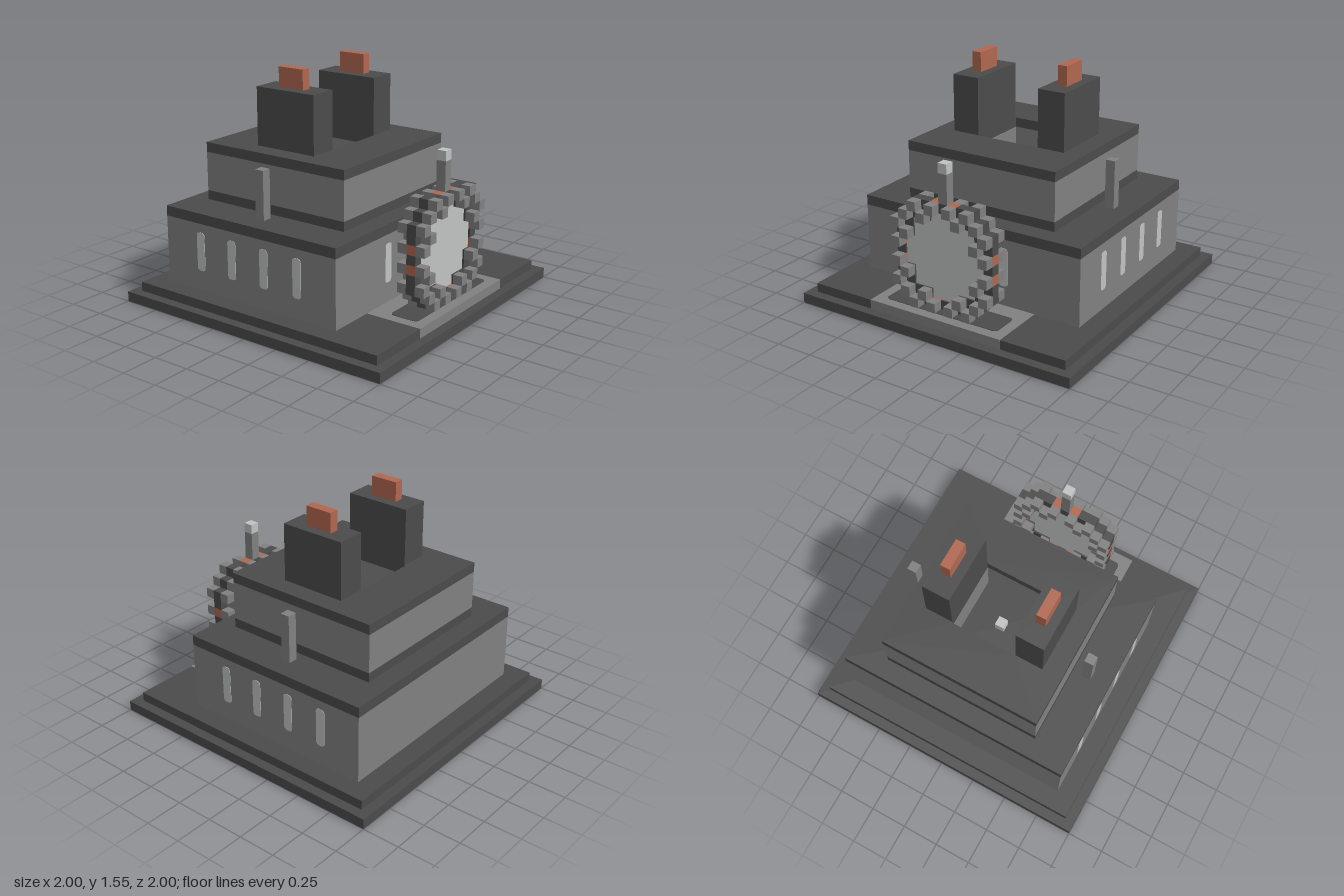
import * as THREE from 'three';

const mat = (name, color) => {
  const m = new THREE.MeshStandardMaterial({ color });
  m.name = name;
  return m;
};

export function createModel() {
  const dark = mat('dark stone', 0x4b4b4b);
  const mid = mat('grey stone', 0x808080);
  const light = mat('pale glow', 0xc0c3c1);
  const rust = mat('rust red', 0xb0674f);
  const model = new THREE.Group();
  model.name = 'steppedFortress';

  const add = (name, geometry, material, parent = model) => {
    const mesh = new THREE.Mesh(geometry, material);
    mesh.name = name;
    parent.add(mesh);
    return mesh;
  };
  // Box given by its limits on each axis
  const box = (name, material, [x0, x1], [y0, y1], [z0, z1], parent = model) => {
    const mesh = add(name, new THREE.BoxGeometry(x1 - x0, y1 - y0, z1 - z0), material, parent);
    mesh.position.set((x0 + x1) / 2, (y0 + y1) / 2, (z0 + z1) / 2);
    return mesh;
  };
  // Thin plate with rounded corners, lying in the xy plane
  const roundedPlate = (w, h, r, depth) => {
    const s = new THREE.Shape();
    const a = w / 2, b = h / 2;
    s.absarc(a - r, b - r, r, 0, Math.PI / 2);
    s.absarc(r - a, b - r, r, Math.PI / 2, Math.PI);
    s.absarc(r - a, r - b, r, Math.PI, Math.PI * 1.5);
    s.absarc(a - r, r - b, r, Math.PI * 1.5, Math.PI * 2);
    return new THREE.ExtrudeGeometry(s, { depth, bevelEnabled: false, curveSegments: 4 });
  };
  const rect = (path, [x0, x1], [z0, z1]) =>
    path.moveTo(x0, -z1).lineTo(x1, -z1).lineTo(x1, -z0).lineTo(x0, -z0).closePath();

  // Stepped base
  box('baseSlab', dark, [-1, 1], [0, 0.068], [-1, 1]);
  box('upperBaseSlab', dark, [-0.935, 0.935], [0.068, 0.13], [-0.935, 0.935]);
  box('forecourt', mid, [-0.488, 0.488], [0.069, 0.132], [0.545, 0.937]);
  const inlay = add('forecourtInlay', roundedPlate(0.835, 0.195, 0.03, 0.004), dark);
  inlay.rotation.x = -Math.PI / 2;
  inlay.position.set(0, 0.131, 0.77);

  // Lower storey
  box('lowerWalls', mid, [-0.805, 0.805], [0.13, 0.58], [-0.805, 0.55]);
  box('lowerRoof', dark, [-0.805, 0.805], [0.58, 0.648], [-0.805, 0.55]);

  // Upper storey with an open central shaft
  const X = [-0.548, 0.548], Z = [-0.677, 0.42];
  box('upperPlinth', dark, X, [0.648, 0.711], Z);
  const frame = (name, material, y0, y1) => {
    const s = rect(new THREE.Shape(), X, Z);
    s.holes.push(rect(new THREE.Path(), [-0.226, 0.226], [-0.36, 0.097]));
    const g = new THREE.ExtrudeGeometry(s, { depth: y1 - y0, bevelEnabled: false });
    add(name, g.rotateX(-Math.PI / 2), material).position.y = y0;
  };
  frame('upperWalls', mid, 0.711, 0.97);
  frame('upperRoof', dark, 0.97, 1.035);
  box('shaftLamp', light, [-0.032, 0.032], [0.711, 0.776], [-0.162, -0.098]);

  // Towers, chimneys, side posts and windows, mirrored
  for (const side of [-1, 1]) {
    const span = (a, b) => (side > 0 ? [a, b] : [-b, -a]);
    box('tower', dark, span(0.226, 0.417), [1.035, 1.42], [-0.355, 0.095]);
    box('chimney', rust, span(0.29, 0.355), [1.42, 1.552], [-0.225, -0.035]);
    box('sidePost', mid, span(0.612, 0.676), [0.648, 0.97], [-0.162, -0.098]);
    const pane = roundedPlate(0.064, 0.258, 0.022, 0.006);
    for (let i = 0; i < 4; i++) {
      const w = add('sideWindow', pane, light);
      w.rotation.y = side * Math.PI / 2;
      w.position.set(side * 0.802, 0.393, 0.26 - i * 0.258);
    }
    add('frontWindow', pane, light).position.set(side * 0.26, 0.393, 0.547);
  }

  // Gate ring: dark core blocks, with grey studs front and back on every other one
  const u = 0.0645, cy = 0.486, cz = 0.776;
  const ring = new THREE.Group();
  ring.name = 'gateRing';
  ring.position.set(0, cy, cz);
  model.add(ring);
  const cube = new THREE.BoxGeometry(u, u, u);
  const inDisc = (i, j) => {
    const a = Math.abs(i), b = Math.abs(j);
    return (a <= 4 && b <= 1) || (a <= 1 && b <= 4) || (a <= 3 && b <= 3);
  };
  const inRing = (i, j) => {
    const a = Math.max(Math.abs(i), Math.abs(j)), b = Math.min(Math.abs(i), Math.abs(j));
    return !inDisc(i, j) && (a === 5 ? b <= 3 : true);
  };
  for (let i = -5; i <= 5; i++) {
    for (let j = -5; j <= 5; j++) {
      if (!inRing(i, j)) continue;
      const accent = Math.abs(i * j) === 5 && Math.abs(i) !== Math.abs(j);
      add('ringCore', cube, accent ? rust : dark, ring).position.set(i * u, j * u, 0);
      if ((i + j) % 2 === 0) {
        for (const k of [-1, 1]) add('ringStud', cube, mid, ring).position.set(i * u, j * u, k * u);
      }
    }
  }

  // Glowing stepped disc inside the ring, one strip per row
  for (let j = -4; j <= 4; j++) {
    const w = [4, 4, 3, 3, 1][Math.abs(j)] + 0.5;
    box('gateDisc', light, [-w * u, w * u], [(j - 0.5) * u, (j + 0.5) * u], [-0.02, 0.02], ring);
  }

  // Beacon above the gate
  box('beaconPost', mid, [-u / 2, u / 2], [0.84, 1.035], [cz - u / 2, cz + u / 2]);
  box('beaconLamp', light, [-u / 2, u / 2], [1.035, 1.1], [cz - u / 2, cz + u / 2]);

  return model;
}
